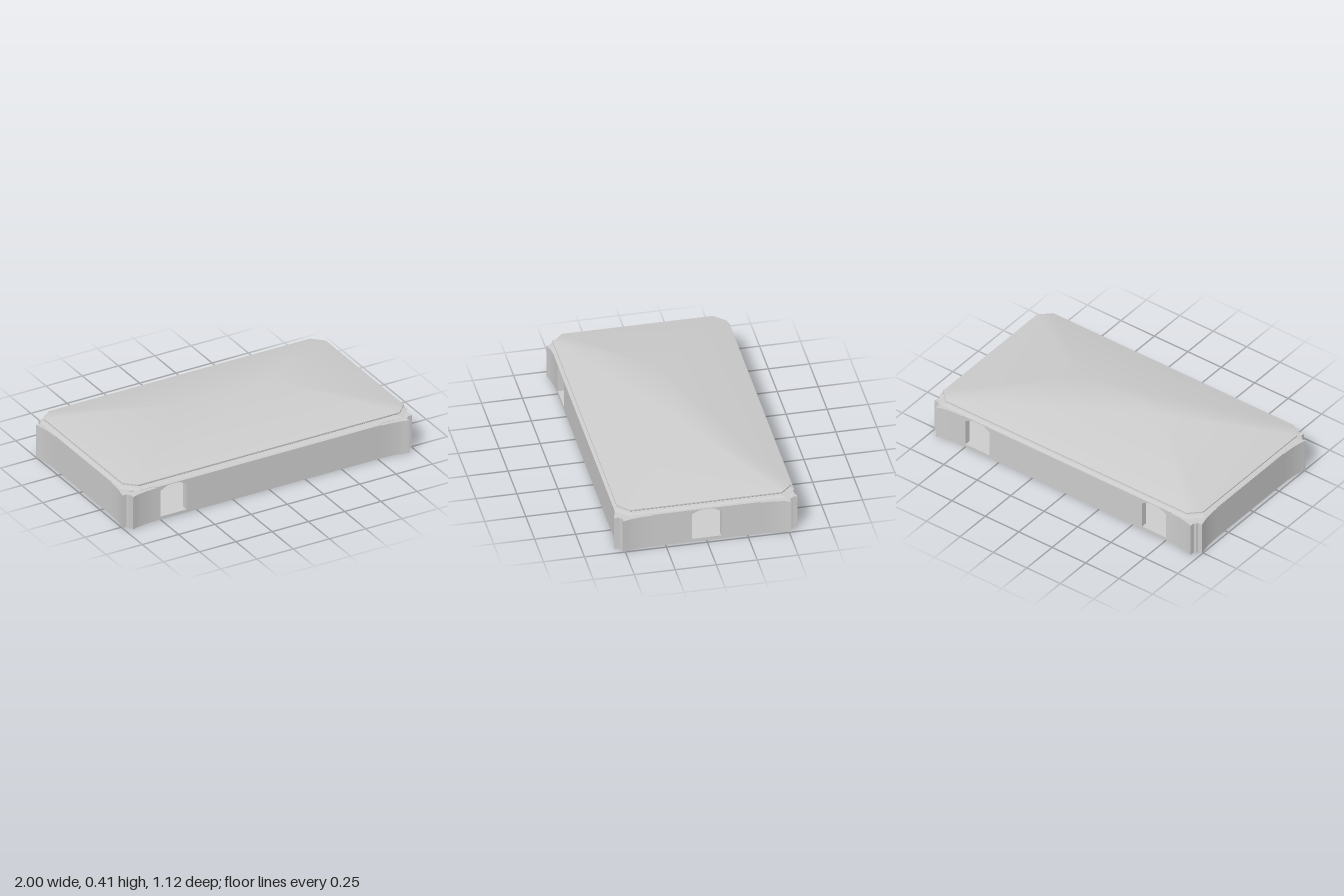
import * as THREE from 'three';
import { mergeVertices } from 'three/addons/utils/BufferGeometryUtils.js';

const T = 0.04;                       // wall thickness
const WX = 0.975, WZ = 0.535;         // outer faces of the straight walls
const FLOOR = 0.02, WALL_TOP = 0.225, CORNER_TOP = 0.22;
const PX = 0.78, PZ = 0.33;           // half lengths of the straight panels

export function createModel() {
  const group = new THREE.Group();
  const mat = new THREE.MeshStandardMaterial({ color: 0xcccccc, side: THREE.DoubleSide });
  const add = (name, geo) => {
    const mesh = new THREE.Mesh(geo, mat);
    mesh.name = name;
    group.add(mesh);
    return mesh;
  };

  // Extrude a plan outline (x, z) between two heights
  const slab = (pts, y0, y1) => {
    const geo = new THREE.ExtrudeGeometry(new THREE.Shape(pts), { depth: y1 - y0, bevelEnabled: false });
    return geo.rotateX(Math.PI / 2).translate(0, y1, 0);
  };
  const v = (x, y) => new THREE.Vector2(x, y);

  // Flared, notched corner outline for one quadrant, front wall to side wall
  const corner = [
    ...new THREE.QuadraticBezierCurve(v(PX, WZ), v(0.88, WZ), v(0.94, 0.557)).getPoints(6),
    v(0.952, 0.56), v(0.953, 0.53), v(0.965, 0.525), v(0.97, 0.512), v(1, 0.512),
    ...new THREE.QuadraticBezierCurve(v(0.997, 0.5), v(WX, 0.43), v(WX, PZ)).getPoints(6),
  ];
  const inner = [v(WX - T, PZ), v(WX - T, WZ - T), v(PX, WZ - T)];
  const quads = [[1, 1], [1, -1], [-1, -1], [-1, 1]];
  const mirror = (pts, sx, sz) => pts.map(p => v(p.x * sx, p.y * sz));

  // Floor slab follows the whole outline
  const outline = quads.flatMap(([sx, sz]) => {
    const pts = mirror(corner, sx, sz);
    return sx * sz > 0 ? pts : pts.reverse();
  });
  add('floor', slab(outline, 0, FLOOR));

  // Four flared wall corners
  for (const [sx, sz] of quads) {
    add('wallCorner', slab(mirror([...corner, ...inner], sx, sz), FLOOR, CORNER_TOP));
  }

  // Straight wall panel with arched doorways centred at the given places
  const panel = (half, doors) => {
    const s = new THREE.Shape();
    s.moveTo(-half, FLOOR);
    for (const c of doors) {
      [[-0.09, FLOOR], [-0.09, 0.195], [-0.045, 0.218], [-0.025, 0.221], [0.025, 0.221],
        [0.045, 0.218], [0.09, 0.195], [0.09, FLOOR]].forEach(([x, y]) => s.lineTo(c + x, y));
    }
    s.lineTo(half, FLOOR);
    s.lineTo(half, WALL_TOP);
    s.lineTo(-half, WALL_TOP);
    return new THREE.ExtrudeGeometry(s, { depth: T, bevelEnabled: false });
  };
  add('frontWall', panel(PX, [-0.66]).translate(0, 0, WZ - T));
  add('backWall', panel(PX, [-0.66, 0.66]).translate(0, 0, -WZ));
  add('leftWall', panel(PZ, [0]).rotateY(Math.PI / 2).translate(WX - T, 0, 0));
  add('rightWall', panel(PZ, []).rotateY(Math.PI / 2).translate(-WX, 0, 0));

  // Sloped cove and ledge on the inside of the closed end wall
  const cove = new THREE.Shape([v(-0.94, 0.16), v(-0.86, 0.222), v(-0.94, 0.222)]);
  add('innerCove', new THREE.ExtrudeGeometry(cove, { depth: 0.98, bevelEnabled: false }).translate(0, 0, -0.49));
  add('innerLedge', new THREE.BoxGeometry(0.03, 0.015, 0.98).translate(-0.925, 0.1225, 0));

  // Rectangle with cut corners, from +x round through +z
  const octagon = (hz, y) => {
    const hx = hz + 0.44, c = 0.07;
    return [[hx, hz - c], [hx - c, hz], [c - hx, hz], [-hx, hz - c],
      [-hx, c - hz], [c - hx, -hz], [hx - c, -hz], [hx, c - hz]].map(([x, z]) => [x, y, z]);
  };
  // Skin a stack of rings
  const loft = rings => {
    const n = rings[0].length, idx = [];
    for (let i = 0; i < rings.length - 1; i++) {
      for (let j = 0; j < n; j++) {
        const a = i * n + j, b = i * n + (j + 1) % n;
        idx.push(a, a + n, b, b, a + n, b + n);
      }
    }
    const geo = new THREE.BufferGeometry();
    geo.setAttribute('position', new THREE.Float32BufferAttribute(rings.flat(2), 3));
    geo.setIndex(idx);
    return geo;
  };

  // Cornice: lower band, projecting lens moulding, groove and eave
  const profile = [[0.51, 0.215], [0.51, 0.235], [0.53, 0.238], [0.548, 0.246], [0.53, 0.252],
    [0.508, 0.254], [0.512, 0.26], [0.525, 0.262], [0.532, 0.268], [0.532, 0.276]];
  const cornice = loft(profile.map(([hz, y]) => octagon(hz, y))).toNonIndexed();
  cornice.computeVertexNormals();
  add('cornice', cornice);
  add('ceiling', slab(octagon(0.505, 0).map(([x, , z]) => v(x, z)), 0.226, 0.232));

  // Hipped roof with softly shaded slopes
  const eave = octagon(0.532, 0.276);
  const ridge = eave.map(([x]) => [Math.sign(x) * 0.3, 0.41, 0]);
  const roof = mergeVertices(loft([eave, ridge]));
  roof.computeVertexNormals();
  add('roof', roof);

  return group;
}
